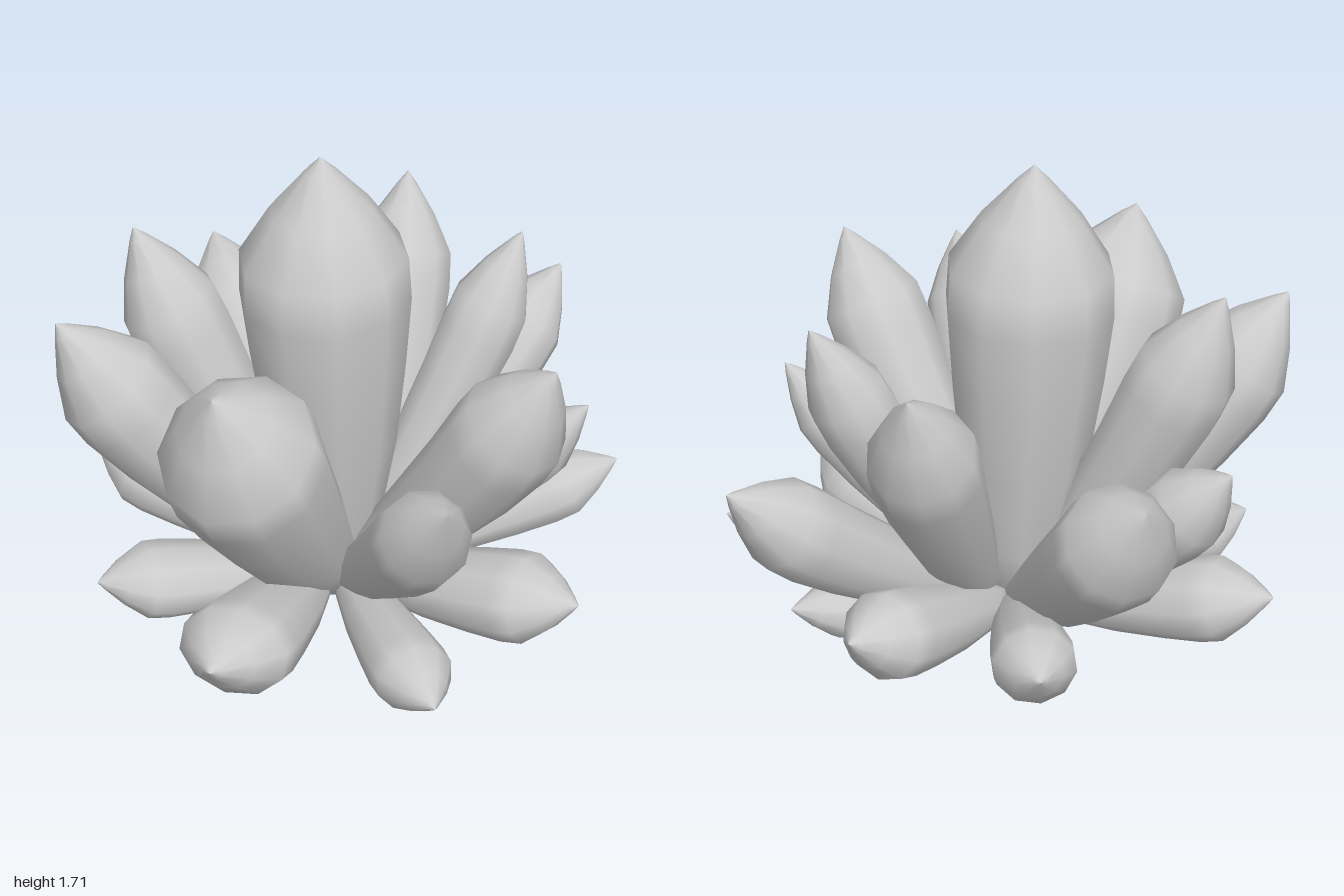
import * as THREE from 'three';

// name, tip [x, y, z], greatest radius, thickness share, root [x, z]
const CRYSTALS = [
  ['centreCrystal', [-0.035, 1.71, 0.055], 0.28],
  // tall ring
  ['frontCrystal', [0.04, 1.28, 0.79], 0.257],
  ['leftCrystal', [0.81, 1.24, 0.105], 0.182],
  ['frontLeftCrystal', [0.73, 1.04, 0.64], 0.148],
  ['frontRightCrystal', [-0.66, 1.22, 0.62], 0.187],
  ['rightCrystal', [-0.645, 1.37, 0.215], 0.172],
  ['backCrystal', [-0.145, 1.28, -0.73], 0.177, 1, [0.1, -0.05]],
  ['backLeftCrystal', [0.38, 1.27, -0.56], 0.138],
  // middle ring
  ['middleBackRightCrystal', [-0.79, 0.99, -0.44], 0.19],
  ['middleRightCrystal', [-0.8, 0.86, 0.05], 0.143],
  ['middleBackCrystal', [0.35, 0.91, -1.0], 0.155],
  ['middleLeftCrystal', [0.78, 0.88, -0.27], 0.113],
  // low ring
  ['lowLeftCrystal', [0.93, 0.32, 0.04], 0.172, 0.86],
  ['lowFrontCrystal', [0.13, 0.43, 1.0], 0.19, 0.78, [-0.05, 0.06]],
  ['lowFrontLeftCrystal', [0.7, 0.22, 0.6], 0.135, 0.88],
  ['lowFrontRightCrystal', [-0.54, 0.26, 0.69], 0.155, 0.8],
  ['lowRightCrystal', [-0.93, 0.37, 0.16], 0.157, 0.9],
  ['lowBackRightCrystal', [-0.56, 0.38, -0.64], 0.14, 0.92],
  ['lowBackCrystal', [0.0, 0.42, -0.88], 0.16, 0.92],
  ['lowBackLeftCrystal', [0.38, 0.29, -0.74], 0.115, 0.9],
  ['lowSideCrystal', [0.78, 0.44, -0.61], 0.135, 0.92],
];

// radius share along the length: slim root, broad shoulder, pointed tip
const PROFILE = [
  [0, 0], [0, 0.4], [0.15, 0.58], [0.35, 0.8], [0.55, 0.93],
  [0.7, 1], [0.79, 0.97], [0.89, 0.59], [0.97, 0.18], [1, 0],
];

function crystalGeometry(tip, radius, thickness, [rootX, rootZ], index) {
  const root = new THREE.Vector3(rootX, 0.08, rootZ);
  const axis = new THREE.Vector3(...tip).sub(root);
  const length = axis.length();
  const points = PROFILE.map(([t, r]) => new THREE.Vector2(r * radius, t * length));
  const geometry = new THREE.LatheGeometry(points, 10, index * 1.3);

  // lay it along its axis, with the broad side level
  const along = axis.clone().normalize();
  const side = new THREE.Vector3(axis.z, 0, -axis.x).normalize();
  const back = new THREE.Vector3().crossVectors(side, along);
  geometry.scale(1, 1, thickness);
  geometry.applyMatrix4(new THREE.Matrix4().makeBasis(side, along, back));

  // bow the body outward so that the tip turns up
  const out = new THREE.Vector3(tip[0], 0, tip[2]);
  const pos = geometry.attributes.position;
  const v = new THREE.Vector3();
  for (let i = 0; i < pos.count; i++) {
    v.fromBufferAttribute(pos, i);
    const t = THREE.MathUtils.clamp(v.dot(along) / length, 0, 1);
    v.addScaledVector(out, 0.085 * along.y * Math.sin(Math.PI * t)).add(root);
    pos.setXYZ(i, v.x, v.y, v.z);
  }
  return geometry;
}

export function createModel() {
  const model = new THREE.Group();
  model.name = 'crystalCluster';
  const material = new THREE.MeshStandardMaterial({ color: 0xcccccc });

  CRYSTALS.forEach(([name, tip, radius, thickness = 1, root = [tip[0] * 0.06, tip[2] * 0.06]], i) => {
    const mesh = new THREE.Mesh(crystalGeometry(tip, radius, thickness, root, i), material);
    mesh.name = name;
    model.add(mesh);
  });

  // small core where the roots meet
  const core = new THREE.Mesh(new THREE.SphereGeometry(0.09, 12, 8), material);
  core.name = 'core';
  core.position.y = 0.09;
  model.add(core);
  return model;
}
